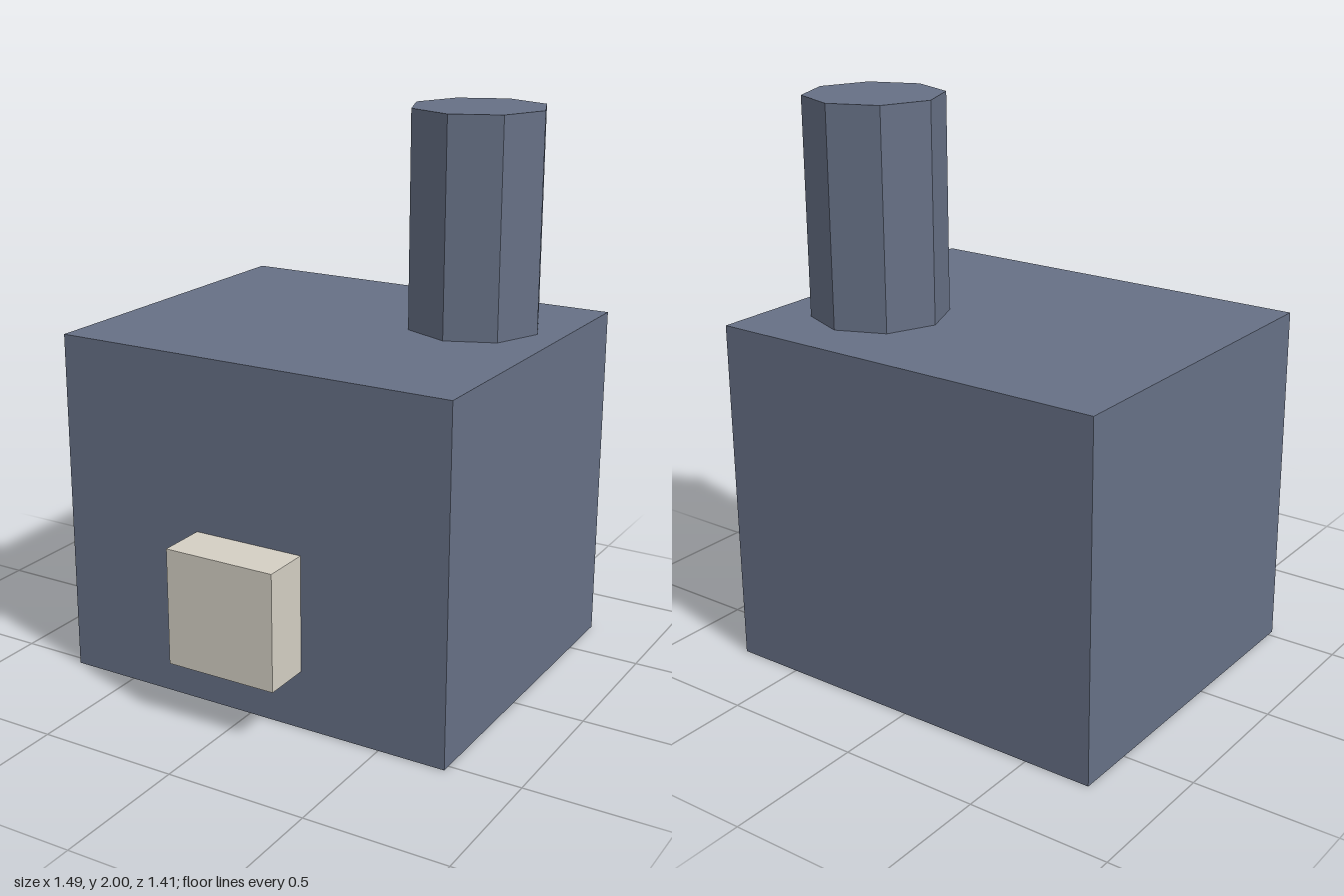
import * as THREE from 'three';

export function createModel() {
  const model = new THREE.Group();
  const slate = new THREE.MeshStandardMaterial({ name: 'slate', color: 0x667085, flatShading: true });
  const cream = new THREE.MeshStandardMaterial({ name: 'cream', color: 0xd4cfc3, flatShading: true });

  const add = (name, geometry, material, x, y, z) => {
    const mesh = new THREE.Mesh(geometry, material);
    mesh.name = name;
    mesh.position.set(x, y, z);
    model.add(mesh);
  };

  // Main block
  add('body', new THREE.BoxGeometry(1.485, 1.24, 1.24), slate, 0, 0.62, -0.09);

  // Eight-sided chimney on the back left corner of the roof
  add('chimney', new THREE.CylinderGeometry(0.24, 0.24, 0.76, 8), slate, 0.41, 1.62, -0.295);

  // Block projecting from the front wall
  add('frontBlock', new THREE.BoxGeometry(0.41, 0.415, 0.175), cream, 0, 0.4175, 0.6175);

  return model;
}
